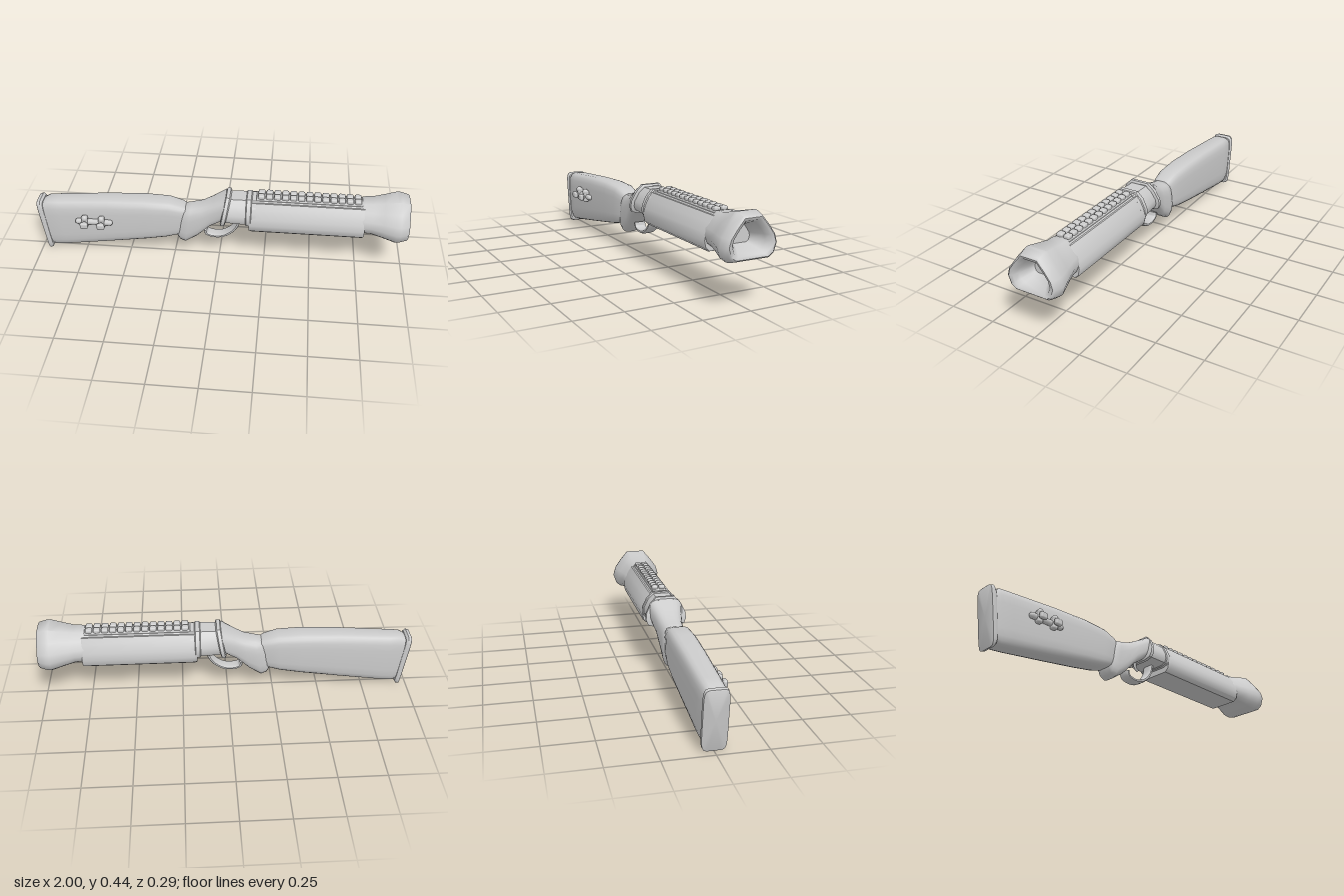
import * as THREE from 'three';
import { toCreasedNormals } from 'three/addons/utils/BufferGeometryUtils.js';
import { RoundedBoxGeometry } from 'three/addons/geometries/RoundedBoxGeometry.js';

const material = new THREE.MeshStandardMaterial({ color: 0xcccccc });

// Skin a list of equal-length rings running towards +x and cap both ends.
function loft(rings, crease = 0.7) {
  const n = rings[0].length;
  const pos = [], idx = [];
  rings.forEach(r => r.forEach(p => pos.push(...p)));
  for (let i = 0; i < rings.length - 1; i++) {
    for (let j = 0; j < n; j++) {
      const a = i * n + j, b = i * n + (j + 1) % n;
      idx.push(a, b, a + n, b, b + n, a + n);
    }
  }
  [0, rings.length - 1].forEach((r, end) => {
    const c = pos.length / 3;
    for (let k = 0; k < 3; k++) pos.push(rings[r].reduce((s, p) => s + p[k], 0) / n);
    for (let j = 0; j < n; j++) {
      const a = r * n + j, b = r * n + (j + 1) % n;
      if (end) idx.push(c, a, b); else idx.push(c, b, a);
    }
  });
  const g = new THREE.BufferGeometry();
  g.setAttribute('position', new THREE.Float32BufferAttribute(pos, 3));
  g.setIndex(idx);
  return toCreasedNormals(g, crease);
}

// Rounded-rectangle ring between a top and a bottom point, half width w.
function slab([tx, ty, bx, by, w], power = 0.45, n = 20) {
  const round = v => Math.sign(v) * Math.abs(v) ** power;
  return Array.from({ length: n }, (_, j) => {
    const a = (j + 0.5) / n * Math.PI * 2;
    const t = (round(Math.cos(a)) + 1) / 2;
    return [bx + (tx - bx) * t, by + (ty - by) * t, round(Math.sin(a)) * w];
  });
}

// Mirrored outline of [z, y] pairs, scaled about the height cy and sheared by lean.
function outline(half, x, sz = 1, sy = 1, cy = 0.33, lean = 0) {
  const full = [...half, ...half.map(([z, y]) => [-z, y]).reverse()];
  return full.map(([z, y]) => [x + lean * (y - cy), cy + (y - cy) * sy, z * sz]);
}

const muzzleShape = [[0.052, 0.445], [0.095, 0.393], [0.132, 0.34], [0.145, 0.295], [0.128, 0.245], [0.1, 0.223]];
const forendShape = [[0.058, 0.392], [0.08, 0.36], [0.1, 0.315], [0.108, 0.28], [0.1, 0.243], [0.08, 0.225]];
const barrelShape = [[0.045, 0.402], [0.075, 0.372], [0.098, 0.325], [0.1, 0.295], [0.09, 0.272], [0.06, 0.262]];

export function createModel() {
  const model = new THREE.Group();
  const add = (name, geometry, x = 0, y = 0, z = 0, parent = model) => {
    const mesh = new THREE.Mesh(geometry, material);
    mesh.name = name;
    mesh.position.set(x, y, z);
    parent.add(mesh);
    return mesh;
  };

  // Shoulder stock: top x, y, bottom x, y, half width
  add('stock', loft([
    [-0.98, 0.295, -0.945, 0.03, 0.053],
    [-0.94, 0.318, -0.91, 0.022, 0.06],
    [-0.88, 0.322, -0.85, 0.03, 0.064],
    [-0.6, 0.343, -0.6, 0.07, 0.068],
    [-0.4, 0.351, -0.4, 0.103, 0.07],
    [-0.27, 0.346, -0.29, 0.123, 0.066],
    [-0.2, 0.325, -0.22, 0.142, 0.058],
    [-0.16, 0.305, -0.19, 0.16, 0.045],
  ].map(s => slab(s))));

  add('buttPlate', loft([
    [-1, 0.306, -0.96, 0.006, 0.054],
    [-0.997, 0.312, -0.957, 0, 0.06],
    [-0.98, 0.316, -0.943, 0.005, 0.062],
    [-0.968, 0.306, -0.935, 0.018, 0.057],
  ].map(s => slab(s, 0.3))));

  // Wrist grip with its lower spur
  add('grip', loft([
    [-0.195, 0.305, -0.235, 0.14, 0.05],
    [-0.185, 0.316, -0.215, 0.106, 0.06],
    [-0.15, 0.322, -0.185, 0.094, 0.065],
    [-0.09, 0.336, -0.12, 0.14, 0.066],
    [-0.03, 0.366, -0.05, 0.215, 0.074],
    [0.035, 0.402, 0.02, 0.266, 0.09],
  ].map(s => slab(s, 0.6)), 0.8));

  // Flared collar behind the receiver
  add('collar', loft([
    outline(barrelShape, 0.022, 1.02, 1, 0.33, 0.2),
    outline(barrelShape, 0.026, 1.11, 1.13, 0.33, 0.2),
    outline(barrelShape, 0.044, 1.11, 1.13, 0.33, 0.2),
    outline(barrelShape, 0.05, 1.0, 1, 0.33, 0.2),
  ]));

  // Receiver, barrel and lower handguard
  add('receiver', loft([outline(barrelShape, 0.03, 0.94, 0.94), outline(barrelShape, 0.16, 1, 0.98),
    outline(barrelShape, 0.2, 0.98, 0.96)]));
  add('receiverBand', loft([0.145, 0.15, 0.172, 0.177].map((x, i) =>
    outline(barrelShape, x, i % 3 ? 1.05 : 0.98, i % 3 ? 1.05 : 0.98))));
  add('barrel', loft([outline(barrelShape, 0.17, 0.95, 0.95), outline(barrelShape, 0.8, 0.95, 0.95)]));
  add('forend', loft([outline(forendShape, 0.165, 0.96, 0.97), outline(forendShape, 0.18),
    outline(forendShape, 0.765), outline(forendShape, 0.772, 0.97, 0.97)]));

  // Bell muzzle, turning inward to a blind bore
  add('muzzle', loft([
    [0.755, 0.68, 0.7], [0.775, 0.72, 0.73], [0.81, 0.74, 0.74], [0.87, 0.86, 0.86], [0.935, 1, 1],
    [0.955, 0.99, 0.99], [0.992, 0.92, 0.9], [1, 0.85, 0.83], [0.995, 0.72, 0.71],
    [0.97, 0.6, 0.59], [0.93, 0.43, 0.45], [0.9, 0.35, 0.38],
  ].map(([x, sz, sy]) => outline(muzzleShape, x, sz, sy, 0.331)), 0.9));

  // Top rail with paired rows of rounded studs
  const rail = new THREE.Group();
  rail.name = 'topRail';
  model.add(rail);
  add('railBase', new RoundedBoxGeometry(0.56, 0.03, 0.08, 2, 0.006), 0.478, 0.393, 0, rail);
  const stud = new RoundedBoxGeometry(0.036, 0.03, 0.034, 2, 0.009);
  for (let i = 0; i < 13; i++) {
    for (const z of [-0.02, 0.02]) add('railStud', stud, 0.225 + i * 0.0422, 0.41, z, rail);
  }

  // Trigger guard: a broad strap swept along a curve
  const curve = new THREE.CatmullRomCurve3([[-0.075, 0.175], [-0.068, 0.15], [-0.03, 0.137], [0.02, 0.142],
    [0.07, 0.175], [0.1, 0.22], [0.112, 0.275]].map(([x, y]) => new THREE.Vector3(x, y, 0)));
  const strap = Array.from({ length: 19 }, (_, i) => {
    const p = curve.getPoint(i / 18), t = curve.getTangent(i / 18);
    const h = 0.01;
    return slab([p.x - t.y * h, p.y + t.x * h, p.x + t.y * h, p.y - t.x * h, 0.032], 0.6, 12);
  });
  add('triggerGuard', loft(strap));
  add('trigger', new THREE.TubeGeometry(new THREE.CatmullRomCurve3([[0.01, 0.28], [0.004, 0.245],
    [0.008, 0.222], [0.025, 0.212]].map(([x, y]) => new THREE.Vector3(x, y, 0))), 10, 0.008, 6));

  // Side fitting on the stock: a bar with two cross clamps
  const fitting = new THREE.Group();
  fitting.name = 'sideFitting';
  fitting.position.set(-0.68, 0.222, 0.075);
  model.add(fitting);
  const bar = add('fittingBar', new THREE.CapsuleGeometry(0.016, 0.175, 4, 10), 0, 0, 0, fitting);
  bar.rotation.z = Math.PI / 2;
  for (const x of [-0.048, 0.044]) {
    add('clamp', new RoundedBoxGeometry(0.032, 0.07, 0.034, 2, 0.01), x, 0.004, 0.006, fitting);
    const post = add('clampPost', new THREE.CylinderGeometry(0.013, 0.015, 0.03, 10), x, 0, 0.022, fitting);
    post.rotation.x = Math.PI / 2;
    add('clampKnob', new RoundedBoxGeometry(0.042, 0.036, 0.024, 2, 0.01), x, -0.002, 0.038, fitting);
    add('clampTop', new THREE.SphereGeometry(0.018, 10, 8), x, 0.028, 0.01, fitting);
  }
  return model;
}
